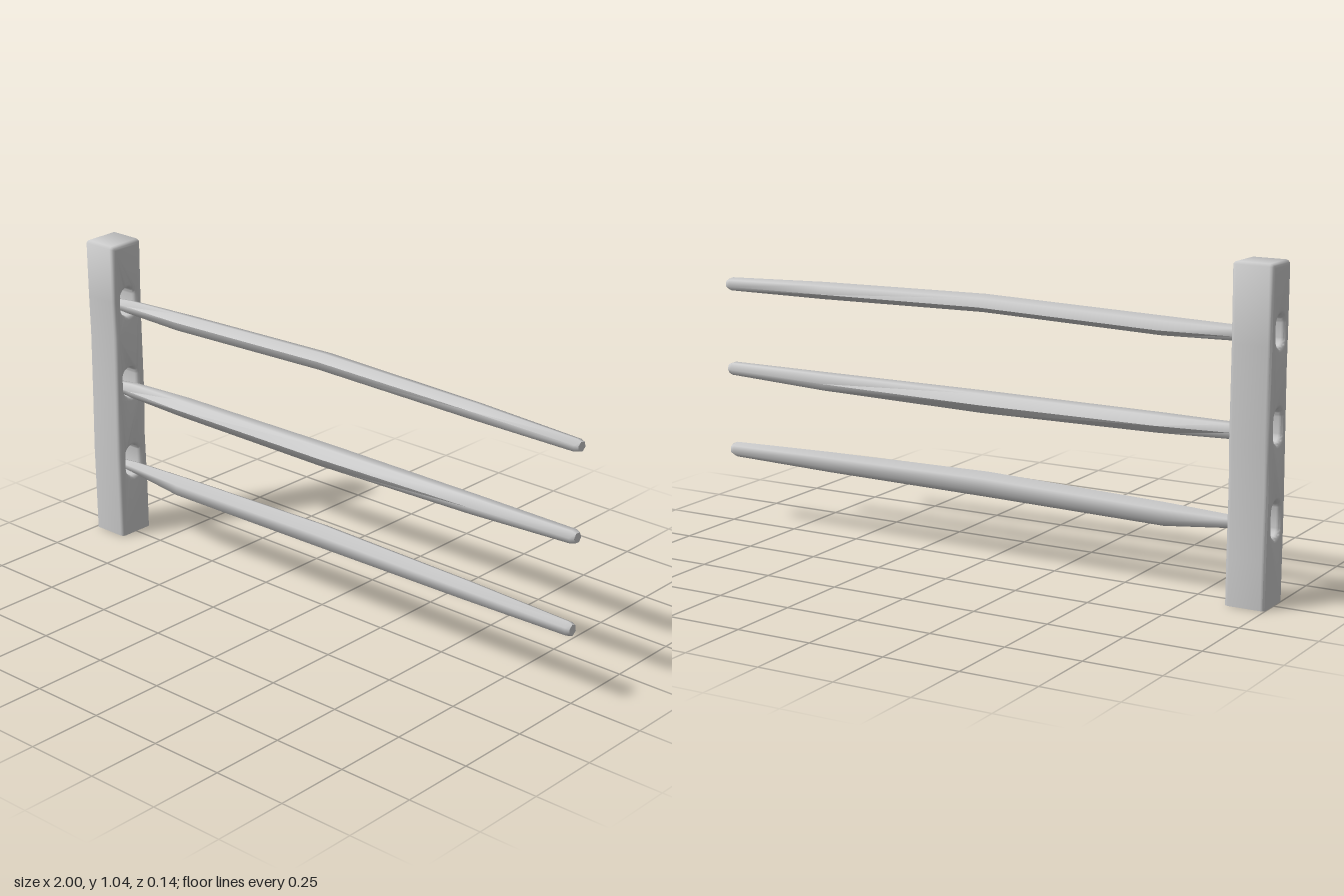
import * as THREE from 'three';
import { toCreasedNormals } from 'three/addons/utils/BufferGeometryUtils.js';

const material = new THREE.MeshStandardMaterial({ color: 0xcccccc, side: THREE.DoubleSide });

// Upright slot with rounded ends, used as a hole through the post
function slot(cx, y0, y1, r) {
  const path = new THREE.Path();
  path.absarc(cx, y1 - r, r, 0, Math.PI, false);
  path.absarc(cx, y0 + r, r, Math.PI, Math.PI * 2, false);
  path.closePath();
  return path;
}

// Slightly uneven square post, rounded edges, slots right through, open underneath
function makePost() {
  const outline = [
    [0.068, -0.04], [0.067, 0.15], [0.061, 0.36], [0.065, 0.5], [0.061, 0.8],
    [0.063, 1.037], [0.056, 1.045], [-0.06, 1.043], [-0.068, 1.035], [-0.066, 0.85],
    [-0.063, 0.72], [-0.065, 0.5], [-0.068, 0.3], [-0.064, -0.04],
  ].map(([x, y]) => new THREE.Vector2(x, y));
  const shape = new THREE.Shape(outline);
  for (const [y0, y1] of [[0.79, 0.888], [0.5, 0.605], [0.21, 0.322]]) {
    shape.holes.push(slot(-0.003, y0, y1, 0.03));
  }
  const bevel = 0.014;
  const geo = new THREE.ExtrudeGeometry(shape, {
    depth: 0.133 - 2 * bevel, curveSegments: 8,
    bevelSize: bevel, bevelThickness: bevel, bevelOffset: -bevel, bevelSegments: 3,
  });
  geo.rotateY(Math.PI / 2);
  geo.translate(-1 + bevel, 0, 0);

  // Trim the foot flat at the ground and drop the closing faces there
  const p = geo.attributes.position;
  const kept = [];
  for (let i = 0; i < p.count; i += 3) {
    const ys = [0, 1, 2].map((k) => Math.max(0, p.getY(i + k)));
    if (Math.max(...ys) === 0) continue;
    for (let k = 0; k < 3; k++) kept.push(p.getX(i + k), ys[k], p.getZ(i + k));
  }
  const trimmed = new THREE.BufferGeometry();
  trimmed.setAttribute('position', new THREE.Float32BufferAttribute(kept, 3));
  return toCreasedNormals(trimmed, 0.9);
}

// Rough-hewn rail lofted through sections [x, yBottom, yTop, zBack, zFront]
function makeRail(sections, turn) {
  const n = 6;
  const pos = [];
  const index = [];
  for (const [x, y0, y1, z0, z1] of sections) {
    for (let i = 0; i < n; i++) {
      const a = turn + (i / n) * Math.PI * 2;
      pos.push(x, (y0 + y1) / 2 + Math.cos(a) * (y1 - y0) / 2, (z0 + z1) / 2 + Math.sin(a) * (z1 - z0) / 2);
    }
  }
  for (let s = 0; s < sections.length - 1; s++) {
    for (let i = 0; i < n; i++) {
      const a = s * n + i;
      const b = s * n + (i + 1) % n;
      index.push(a, b, a + n, b, b + n, a + n);
    }
  }
  // End caps
  const last = (sections.length - 1) * n;
  for (let i = 1; i < n - 1; i++) {
    index.push(0, i + 1, i, last, last + i, last + i + 1);
  }
  const geo = new THREE.BufferGeometry();
  geo.setAttribute('position', new THREE.Float32BufferAttribute(pos, 3));
  geo.setIndex(index);
  return toCreasedNormals(geo, 1.15);
}

export function createModel() {
  const group = new THREE.Group();
  const add = (name, geometry) => {
    const mesh = new THREE.Mesh(geometry, material);
    mesh.name = name;
    group.add(mesh);
  };

  add('post', makePost());

  add('topRail', makeRail([
    [-0.94, 0.803, 0.838, -0.02, 0.018],
    [-0.86, 0.798, 0.846, -0.028, 0.024],
    [-0.62, 0.793, 0.852, -0.046, 0.032],
    [0, 0.81, 0.867, -0.053, 0.028],
    [0.6, 0.8, 0.856, -0.05, 0.016],
    [0.97, 0.798, 0.842, -0.042, 0.005],
    [0.985, 0.803, 0.836, -0.037, 0],
  ], 0.2));

  add('middleRail', makeRail([
    [-0.94, 0.505, 0.542, -0.02, 0.018],
    [-0.86, 0.498, 0.552, -0.028, 0.024],
    [-0.62, 0.492, 0.555, -0.05, 0.033],
    [0, 0.486, 0.558, -0.058, 0.03],
    [0.6, 0.495, 0.557, -0.052, 0.016],
    [0.97, 0.51, 0.556, -0.042, 0.006],
    [0.985, 0.515, 0.55, -0.036, 0],
  ], 0.45));

  add('bottomRail', makeRail([
    [-0.94, 0.228, 0.255, -0.015, 0.018],
    [-0.86, 0.223, 0.263, -0.02, 0.024],
    [-0.63, 0.199, 0.273, -0.032, 0.038],
    [0, 0.208, 0.29, -0.033, 0.046],
    [0.6, 0.214, 0.282, -0.025, 0.038],
    [0.985, 0.222, 0.272, -0.015, 0.03],
    [1, 0.228, 0.266, -0.01, 0.025],
  ], 0.1));

  return group;
}
